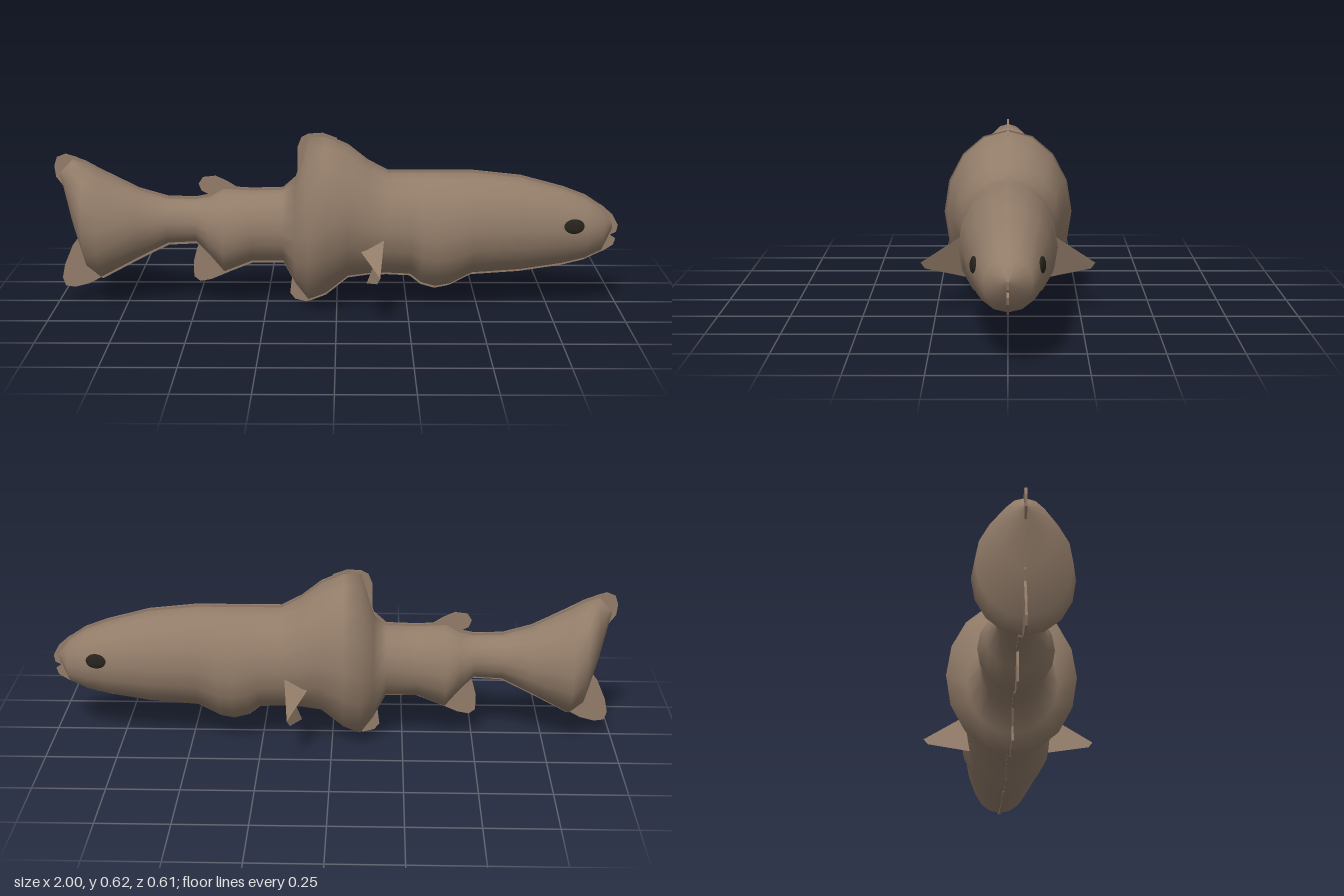
import * as THREE from 'three';

// Body stations from tail to snout: x, top y, bottom y, half width
const STATIONS = [
  [-0.98, 0.475, 0.465, 0.003], [-0.935, 0.525, 0.28, 0.085], [-0.89, 0.51, 0.135, 0.152],
  [-0.84, 0.482, 0.095, 0.163], [-0.7, 0.412, 0.17, 0.106], [-0.6, 0.383, 0.22, 0.077],
  [-0.5, 0.38, 0.225, 0.073], [-0.45, 0.39, 0.175, 0.105], [-0.4, 0.418, 0.115, 0.13],
  [-0.3, 0.412, 0.155, 0.115], [-0.19, 0.415, 0.155, 0.115], [-0.145, 0.455, 0.07, 0.16],
  [-0.1, 0.605, 0.012, 0.23], [-0.04, 0.605, 0.035, 0.22], [0.04, 0.57, 0.1, 0.197],
  [0.11, 0.515, 0.11, 0.18], [0.18, 0.478, 0.112, 0.162], [0.26, 0.478, 0.108, 0.157],
  [0.3, 0.478, 0.076, 0.163], [0.35, 0.478, 0.062, 0.167], [0.4, 0.478, 0.072, 0.166],
  [0.48, 0.478, 0.113, 0.153], [0.65, 0.46, 0.125, 0.14], [0.8, 0.42, 0.148, 0.115],
  [0.88, 0.39, 0.168, 0.1], [0.94, 0.35, 0.197, 0.076], [0.98, 0.295, 0.275, 0.004],
];
const SIDES = 16;
const PLATE = 0.008;

// Elliptical cross-sections joined into one smooth skin
function loft() {
  const pos = [], index = [];
  STATIONS.forEach(([x, top, bottom, w], i) => {
    for (let j = 0; j < SIDES; j++) {
      const a = (j / SIDES) * Math.PI * 2;
      pos.push(x, (top + bottom) / 2 + ((top - bottom) / 2) * Math.cos(a), w * Math.sin(a));
      if (i === STATIONS.length - 1) continue;
      const p = i * SIDES + j, q = i * SIDES + ((j + 1) % SIDES);
      index.push(p, q, p + SIDES, q, q + SIDES, p + SIDES);
    }
  });
  const g = new THREE.BufferGeometry();
  g.setAttribute('position', new THREE.Float32BufferAttribute(pos, 3));
  g.setIndex(index);
  g.computeVertexNormals();
  return g;
}

// Thin plate on the centre plane
function plate(points) {
  const shape = new THREE.Shape(points.map(([x, y]) => new THREE.Vector2(x, y)));
  const g = new THREE.ExtrudeGeometry(shape, { depth: PLATE, bevelEnabled: false });
  return g.translate(0, 0, -PLATE / 2);
}

export function createModel() {
  const fish = new THREE.Group();
  fish.name = 'fish';
  const skin = new THREE.MeshStandardMaterial({ color: 0x927c69, side: THREE.DoubleSide });
  skin.name = 'brown skin';
  const dark = new THREE.MeshStandardMaterial({ color: 0x25231b });
  dark.name = 'dark eye';
  const add = (name, geometry, material = skin) => {
    const mesh = new THREE.Mesh(geometry, material);
    mesh.name = name;
    fish.add(mesh);
    return mesh;
  };

  add('body', loft());

  // Narrow ridge following the back and belly
  const ridge = STATIONS.slice(1, -1);
  add('ridge', plate([
    ...ridge.map(([x, top]) => [x, top + 0.008]),
    ...ridge.map(([x, , bottom]) => [x, bottom - 0.008]).reverse(),
  ]));

  // Flat fins and jaws
  const fins = {
    upperTailFin: [[-0.9, 0.3], [-0.94, 0.36], [-0.965, 0.42], [-0.995, 0.46], [-1, 0.5],
      [-0.99, 0.53], [-0.96, 0.542], [-0.92, 0.53], [-0.85, 0.49]],
    lowerTailFin: [[-0.9, 0.27], [-0.945, 0.21], [-0.975, 0.14], [-0.985, 0.09], [-0.975, 0.06],
      [-0.94, 0.055], [-0.89, 0.068], [-0.83, 0.1], [-0.8, 0.2]],
    smallBackFin: [[-0.38, 0.4], [-0.45, 0.395], [-0.48, 0.41], [-0.49, 0.435], [-0.475, 0.458],
      [-0.43, 0.463], [-0.39, 0.445], [-0.35, 0.42]],
    rearBellyFin: [[-0.48, 0.24], [-0.5, 0.2], [-0.513, 0.15], [-0.512, 0.095], [-0.49, 0.078],
      [-0.45, 0.085], [-0.38, 0.115], [-0.38, 0.2]],
    backFin: [[-0.1, 0.45], [-0.14, 0.44], [-0.138, 0.57], [-0.125, 0.602], [-0.1, 0.615],
      [-0.05, 0.618], [0.0, 0.6], [0.03, 0.5]],
    bellyFin: [[-0.1, 0.15], [-0.16, 0.1], [-0.168, 0.035], [-0.15, 0.012], [-0.11, 0.002],
      [-0.07, 0.015], [0, 0.08]],
    upperJaw: [[0.88, 0.39], [0.94, 0.36], [0.98, 0.325], [1, 0.288], [0.995, 0.262],
      [0.972, 0.252], [0.9, 0.25]],
    lowerJaw: [[0.9, 0.25], [0.975, 0.25], [0.993, 0.238], [0.985, 0.215], [0.95, 0.193], [0.88, 0.165]],
  };
  for (const [name, points] of Object.entries(fins)) add(name, plate(points));

  for (const s of [1, -1]) {
    const side = s > 0 ? 'front' : 'back';

    // Folded paddle fin on the lower flank
    const [root, low, rear, tip, under] = [
      [0.165, 0.268, 0.16], [0.105, 0.108, 0.14], [0.085, 0.228, 0.165],
      [0.15, 0.17, 0.305], [0.14, 0.147, 0.29],
    ].map(([x, y, z]) => [x, y, z * s]);
    const g = new THREE.BufferGeometry();
    g.setAttribute('position', new THREE.Float32BufferAttribute(
      [root, rear, tip, root, tip, under, root, under, low].flat(2), 3));
    if (s < 0) {
      // Mirrored side needs its corners reversed
      g.setIndex([0, 2, 1, 3, 5, 4, 6, 8, 7]);
    }
    g.computeVertexNormals();
    add(side + 'SideFin', g);

    // Shallow oval eye lying on the cheek
    const eye = add(side + 'Eye', new THREE.SphereGeometry(1, 20, 12), dark);
    eye.scale.set(0.037, 0.026, 0.009);
    eye.position.set(0.832, 0.306, 0.106 * s);
    eye.rotation.set(-0.12 * s, 0.2 * s, 0);
  }
  return fish;
}
